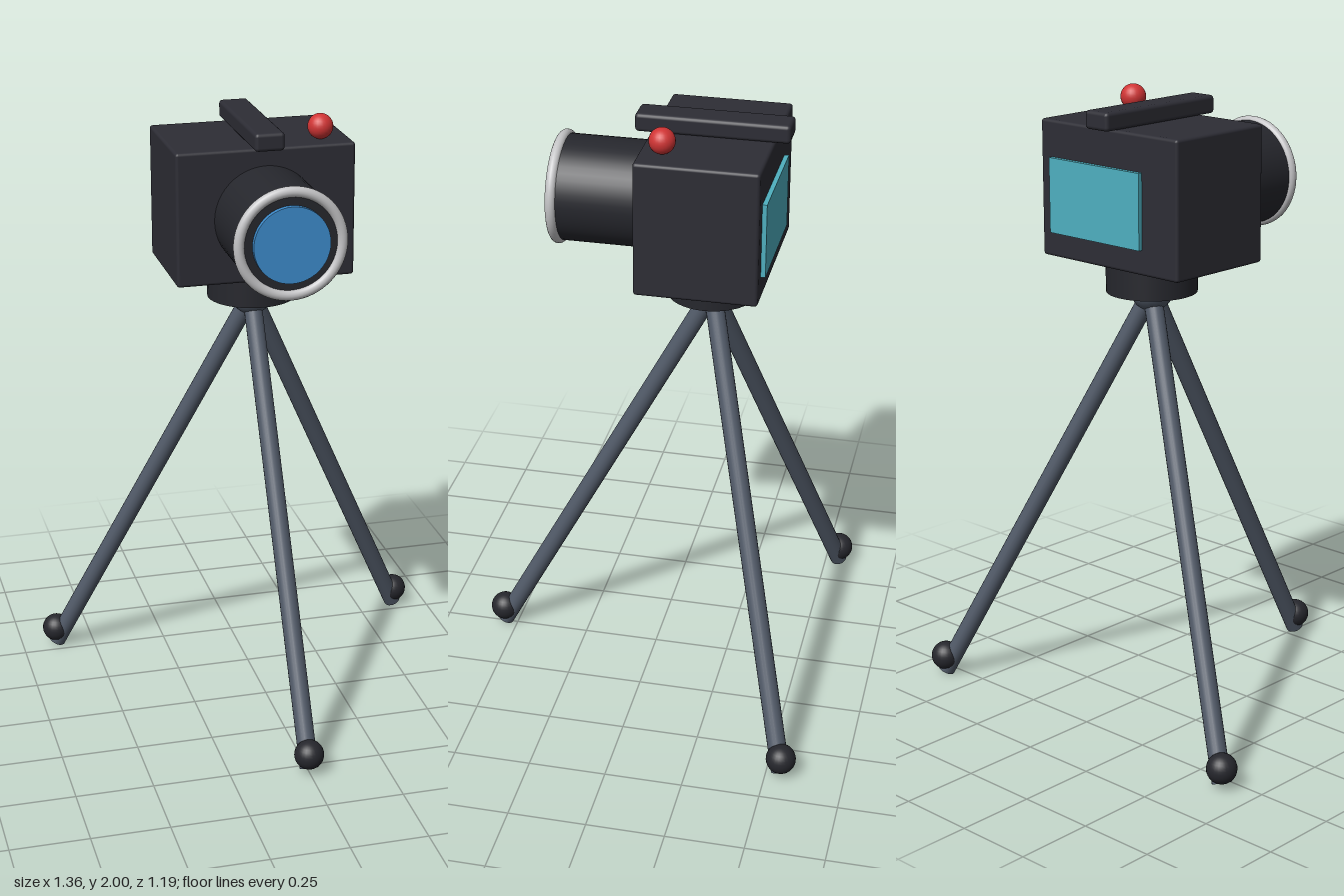
import * as THREE from 'three';
import { RoundedBoxGeometry } from 'three/addons/geometries/RoundedBoxGeometry.js';

const mat = (name, color) => {
  const m = new THREE.MeshStandardMaterial({ color });
  m.name = name;
  return m;
};

export function createModel() {
  const bodyDark = mat('body charcoal', 0x2d2d35);
  const black = mat('barrel black', 0x26272d);
  const steel = mat('leg steel', 0x515a68);
  const silver = mat('ring silver', 0xc4c4c6);
  const blue = mat('lens blue', 0x3d8bcb);
  const teal = mat('screen teal', 0x4fb0c0);
  const red = mat('button red', 0xd03434);

  const root = new THREE.Group();
  root.name = 'tripodCamera';
  const add = (name, geometry, material, x, y, z, parent = root) => {
    const mesh = new THREE.Mesh(geometry, material);
    mesh.name = name;
    mesh.position.set(x, y, z);
    parent.add(mesh);
    return mesh;
  };
  const axisZ = -0.184; // tripod axis
  const lensY = 1.696;

  // Camera body, top rail, button and rear screen
  add('body', new RoundedBoxGeometry(0.58, 0.434, 0.386, 2, 0.01), bodyDark, 0, 1.703, axisZ);
  add('topRail', new RoundedBoxGeometry(0.096, 0.058, 0.482, 2, 0.012), bodyDark, 0, 1.949, axisZ);
  add('button', new THREE.SphereGeometry(0.041, 24, 16), red, 0.194, 1.961, -0.062);
  add('screen', new THREE.BoxGeometry(0.386, 0.238, 0.015), teal, 0.048, 1.685, -0.384);

  // Lens: barrel, front ring and glass disc, all along z
  const zCylinder = (r, depth) => new THREE.CylinderGeometry(r, r, depth, 48).rotateX(Math.PI / 2);
  add('lensBarrel', zCylinder(0.168, 0.3), black, 0, lensY, 0.15);
  add('lensRing', new THREE.TorusGeometry(0.163, 0.017, 16, 64), silver, 0, lensY, 0.297);
  add('lensGlass', zCylinder(0.121, 0.02), blue, 0, lensY, 0.307);

  // Tripod head
  add('mount', new THREE.CylinderGeometry(0.145, 0.145, 0.106, 40), black, 0, 1.435, axisZ);
  add('hub', new THREE.SphereGeometry(0.07, 24, 16), steel, 0, 1.387, axisZ);

  // Three splayed legs with ball feet
  const top = new THREE.Vector3(0, 1.38, 0);
  const foot = new THREE.Vector3(0, 0.016, 0.727);
  const dir = top.clone().sub(foot);
  const legGeometry = new THREE.CylinderGeometry(0.03, 0.03, dir.length(), 20);
  const ballGeometry = new THREE.SphereGeometry(0.048, 24, 16);
  const middle = top.clone().add(foot).multiplyScalar(0.5);
  for (let i = 0; i < 3; i++) {
    const leg = new THREE.Group();
    leg.name = 'leg' + (i + 1);
    leg.position.z = axisZ;
    leg.rotation.y = (i * Math.PI * 2) / 3;
    const tube = add('legTube', legGeometry, steel, middle.x, middle.y, middle.z, leg);
    tube.quaternion.setFromUnitVectors(new THREE.Vector3(0, 1, 0), dir.clone().normalize());
    add('foot', ballGeometry, black, 0, 0.066, 0.727, leg);
    root.add(leg);
  }
  return root;
}
